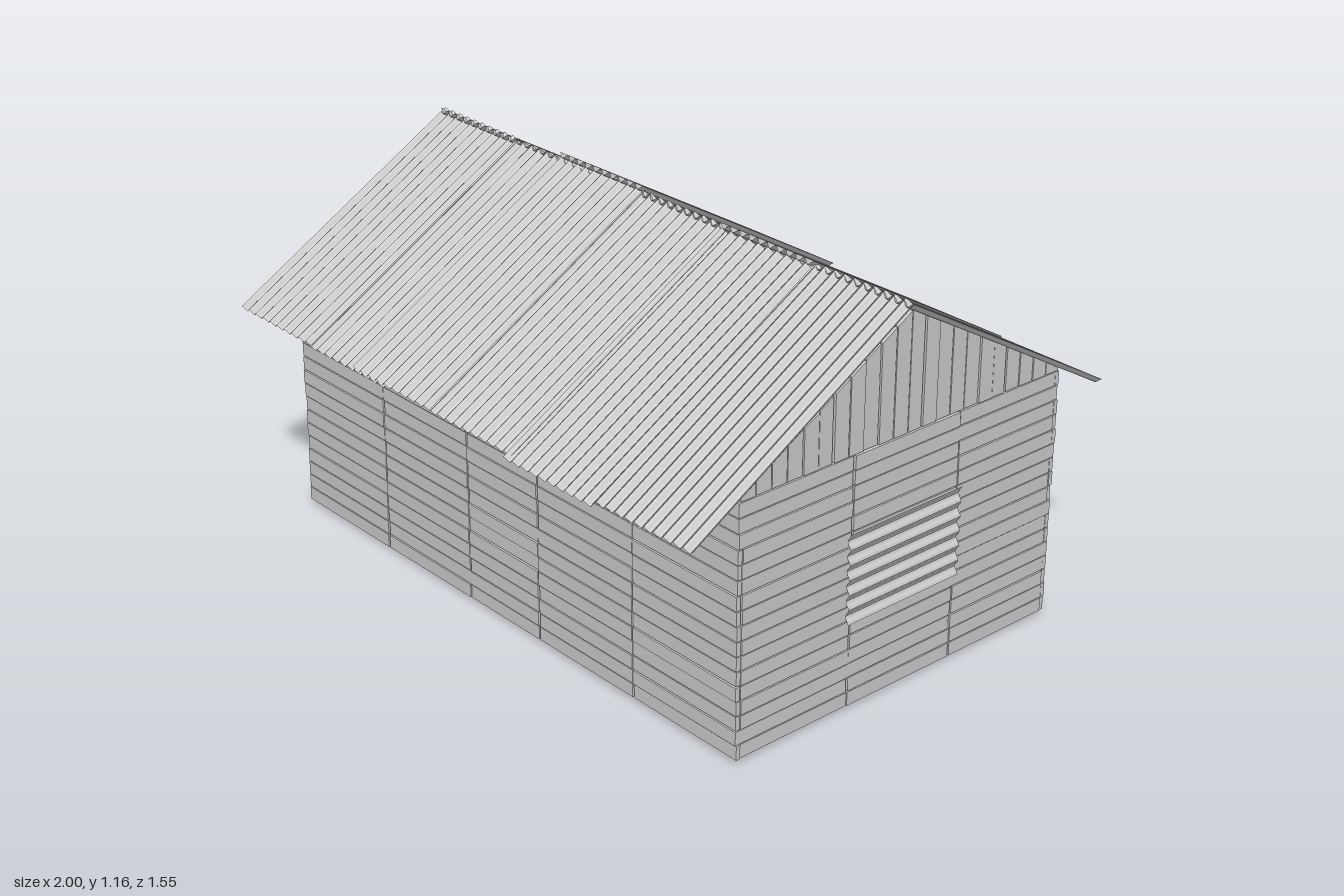
import * as THREE from 'three';

const mat = new THREE.MeshStandardMaterial({ color: 0xcccccc, flatShading: true, side: THREE.DoubleSide });
const ROWS = 17, BASE = 0.015, PITCH = 0.0444, THICK = 0.014;
const EAVE = BASE + ROWS * PITCH;

let seed = 7;
// small repeatable jitter in -a..a
function jitter(a) {
  seed = (seed * 16807) % 2147483647;
  return (seed / 2147483647 * 2 - 1) * a;
}

function mesh(name, geo) {
  const m = new THREE.Mesh(geo, mat);
  m.name = name;
  return m;
}

function board(name, w, h, x, y, z = 0) {
  const m = mesh(name, new THREE.BoxGeometry(w, h, THICK));
  m.position.set(x, y, z);
  return m;
}

// corrugated metal sheet: waves across its width, ribs along its length
function sheet(name, w, l, waves, amp) {
  const geo = new THREE.PlaneGeometry(w, l, waves * 6, 1);
  const p = geo.attributes.position;
  for (let i = 0; i < p.count; i++) {
    p.setZ(i, amp * Math.cos((p.getX(i) / w + 0.5) * waves * Math.PI * 2));
  }
  geo.computeVertexNormals();
  return mesh(name, geo);
}

// rows of horizontal planks between seams; skip = [seam index, height] leaves a doorway
function wall(name, seams, skip) {
  const g = new THREE.Group();
  g.name = name;
  for (let s = 0; s < seams.length - 1; s++) {
    for (let r = 0; r < ROWS; r++) {
      const y = BASE + (r + 0.5) * PITCH;
      if (skip && s === skip[0] && y < skip[1]) continue;
      const w = seams[s + 1] - seams[s] - 0.004;
      const b = board('wallPlank', w, PITCH - 0.003, (seams[s] + seams[s + 1]) / 2 + jitter(0.002), y, jitter(0.002));
      b.rotation.z = jitter(0.0015);
      g.add(b);
    }
  }
  return g;
}

// vertical gable boards cut to the roof slope
function gable(from, to) {
  const g = new THREE.Group();
  g.name = 'gable';
  const n = 22, w = (to - from) / n, mid = (from + to) / 2;
  const top = u => 1.122 - 0.575 * Math.abs(u - mid);
  for (let i = 0; i < n; i++) {
    const a = from + i * w + 0.001, b = a + w - (i % 6 === 5 ? 0.007 : 0.003);
    const shape = new THREE.Shape([
      new THREE.Vector2(a, EAVE + 0.003), new THREE.Vector2(b, EAVE + 0.003),
      new THREE.Vector2(b, top(b)), new THREE.Vector2(a, top(a)),
    ]);
    const m = mesh('gableBoard', new THREE.ExtrudeGeometry(shape, { depth: THICK, bevelEnabled: false }));
    m.position.z = -THICK / 2 + jitter(0.002);
    g.add(m);
  }
  return g;
}

// sheet nailed over a wall
function patch(name, w, l, waves, x, y, angle) {
  const m = sheet(name, w, l, waves, 0.006);
  m.position.set(x, y, 0.0165);
  m.rotation.z = angle;
  return m;
}

export function createModel() {
  const model = new THREE.Group();
  model.name = 'shack';

  // long walls
  const front = wall('frontWall', [-0.96, -0.545, -0.145, 0.17, 0.57, 0.98]);
  front.position.z = 0.577;

  const back = wall('backWall', [-0.98, -0.57, -0.17, 0.145, 0.545, 0.96], [2, 0.59]);
  back.rotation.y = Math.PI;
  back.position.z = -0.603;

  // door of three upright boards
  const door = new THREE.Group();
  door.name = 'door';
  for (let i = -1; i <= 1; i++) {
    door.add(board('doorBoard', 0.107, 0.587, i * 0.11, 0.2985 + i * 0.002, 0.006));
  }
  back.add(door);
  back.add(patch('backWindowCover', 0.27, 0.43, 6, 0.545, 0.215, Math.PI / 2));
  back.add(patch('backSlantedPatch', 0.12, 0.363, 4, -0.55, 0.43, 1.28));

  // end walls with gables
  const right = wall('leftEndWall', [-0.571, -0.18, 0.215, 0.597]);
  right.add(gable(-0.58, 0.605));
  right.add(patch('endWindowCover', 0.27, 0.42, 6, 0.01, 0.415, Math.PI / 2));
  right.rotation.y = Math.PI / 2;
  right.position.x = 0.972;

  const left = wall('rightEndWall', [-0.597, -0.215, 0.18, 0.571]);
  left.add(gable(-0.605, 0.58));
  left.add(patch('endSlantedPatch', 0.289, 0.42, 8, -0.28, 0.385, -0.34));
  left.rotation.y = -Math.PI / 2;
  left.position.x = -0.953;

  model.add(front, back, right, left);

  // roof sheets: [from x, to x, slide down slope, lift, twist]
  const frontSheets = [
    [-1, -0.63, 0, 0.002, 0], [-0.645, -0.28, 0.003, -0.003, 0.003], [-0.43, -0.06, 0, 0.004, 0],
    [-0.075, 0.29, 0, -0.002, 0], [0.275, 0.64, 0.018, 0.004, 0], [0.632, 0.995, 0, 0, 0.012],
  ];
  const backSheets = [
    [-1, -0.635, -0.012, 0, 0], [-0.65, -0.28, 0.004, 0.002, 0], [-0.43, -0.06, -0.014, 0.014, 0],
    [-0.075, 0.285, 0, 0, 0], [0.275, 0.64, -0.02, 0.004, 0], [0.63, 0.995, 0, 0, -0.012],
  ];
  const pitch = Math.PI / 6;
  const addSlope = (name, list, side, z, y) => {
    const slope = new THREE.Group();
    slope.name = name;
    for (const [a, b, slide, lift, twist] of list) {
      const m = sheet('roofSheet', b - a, 0.888, 10, 0.0075);
      m.rotation.set(pitch - Math.PI / 2, side > 0 ? 0 : Math.PI, twist, 'YXZ');
      m.position.set((a + b) / 2,
        y - slide * Math.sin(pitch) + lift * Math.cos(pitch),
        z + side * (slide * Math.cos(pitch) + lift * Math.sin(pitch)));
      slope.add(m);
    }
    model.add(slope);
  };
  addSlope('frontRoof', frontSheets, 1, 0.37, 0.917);
  addSlope('backRoof', backSheets, -1, -0.385, 0.915);

  return model;
}
